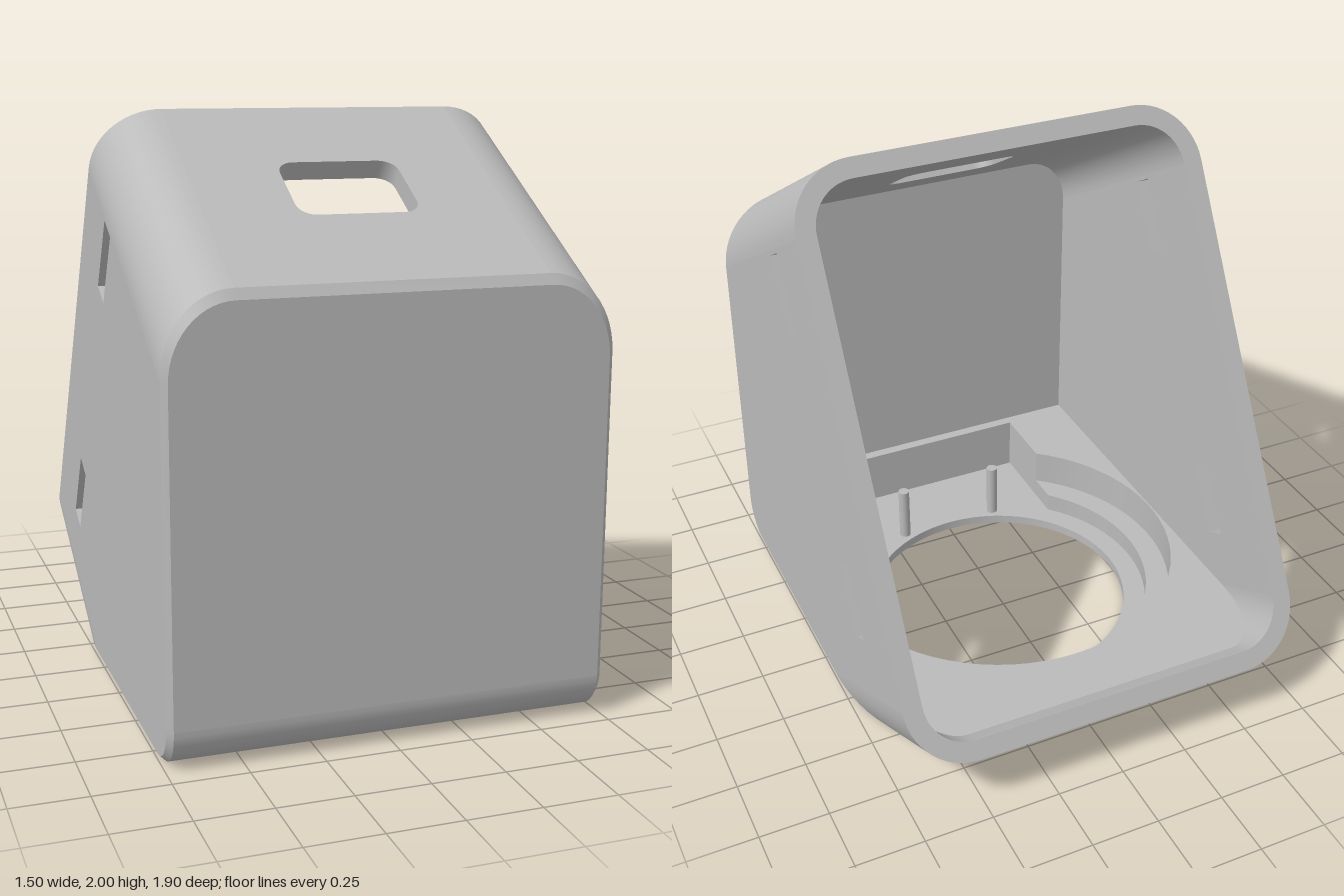
import * as THREE from 'three';
import { toCreasedNormals } from 'three/addons/utils/BufferGeometryUtils.js';

// Tilted rounded tube: x across, v up along the open back plane, u into the body.
const S = 0.5, C = Math.sqrt(3) / 2;
const Z0 = -0.95, Y0 = 0.233, V = 2.04, W = 0.75, R = 0.23, T = 0.07, BEVEL = 0.02;
const FRONT = 0.95, EDGE = 0.14, FLOOR = 0.25, INNER_FRONT = 0.88;
const at = (x, u, v) => new THREE.Vector3(x, Y0 + C * v - S * u, Z0 + S * v + C * u);
const vOf = (z, y) => (z - Z0) * S + (y - Y0) * C;

// Depth at which the outer tube meets the front and bottom, with their rounded edge
function outerEnd(v, inset) {
  const inside = (u) => {
    const { z, y } = at(0, u, v), dz = z - (FRONT - EDGE), dy = EDGE - y;
    if (dz > 0 && dy > 0) return Math.hypot(dz, dy) <= EDGE - inset;
    return z <= FRONT - inset && y >= inset;
  };
  let lo = 0, hi = 3;
  for (let i = 0; i < 40; i++) {
    const m = (lo + hi) / 2;
    if (inside(m)) lo = m; else hi = m;
  }
  return lo;
}
// Depth at which the inner tube meets the floor or the front wall
function innerEnd(v) {
  const p = at(0, 0, v);
  return Math.min((INNER_FRONT - p.z) / C, (p.y - FLOOR) / S);
}

// Cross-section points [x, v] in named runs for the +x half
const vBottom = vOf(FRONT - EDGE, 0), vFront = vOf(FRONT, EDGE), vKink = vOf(INNER_FRONT, FLOOR);
const sideV = [R];
for (let i = 0; i <= 12; i++) sideV.push(vBottom + (vFront - vBottom) * i / 12);
sideV.push(vKink, V - R);
function section(inset) {
  const r = R - inset, low = [], high = [];
  for (let i = 0; i <= 14; i++) {
    const a = i / 14 * Math.PI / 2;
    low.push([W - R + r * Math.sin(a), R - r * Math.cos(a)]);
    high.push([W - R + r * Math.cos(a), V - R + r * Math.sin(a)]);
  }
  const side = sideV.map((v) => [W - inset, v]);
  const half = [...low, ...side.slice(1, -1), ...high];
  return { low, high, side, loop: [...half, ...mirror(half)] };
}
const mirror = (pts) => pts.map(([x, v]) => [-x, v]).reverse();

// Surface between two equally long rows of points
function strip(a, b, closed = false) {
  const n = a.length, pos = [], idx = [];
  for (let i = 0; i < n; i++) pos.push(...a[i].toArray(), ...b[i].toArray());
  for (let i = 0; i < (closed ? n : n - 1); i++) {
    const p = 2 * i, q = 2 * ((i + 1) % n);
    idx.push(p, q, p + 1, q, q + 1, p + 1);
  }
  const g = new THREE.BufferGeometry();
  g.setAttribute('position', new THREE.Float32BufferAttribute(pos, 3));
  g.setIndex(idx);
  return toCreasedNormals(g, 0.5);
}
// Flat outline with holes, placed in space by a rule
function sheet(outline, holes, place) {
  const vec = (pts) => pts.map(([a, b]) => new THREE.Vector2(a, b));
  const shape = new THREE.Shape(vec(outline));
  holes.forEach((h) => shape.holes.push(new THREE.Path(vec(h))));
  const g = new THREE.ShapeGeometry(shape), p = g.attributes.position;
  for (let i = 0; i < p.count; i++) p.setXYZ(i, ...place(p.getX(i), p.getY(i)).toArray());
  g.computeVertexNormals();
  return g;
}
const rect = (a0, a1, b0, b1) => [[a0, b0], [a1, b0], [a1, b1], [a0, b1]];

export function createModel() {
  const model = new THREE.Group();
  model.name = 'tiltedHousing';
  const grey = new THREE.MeshStandardMaterial({ color: 0xbababa, side: THREE.DoubleSide });
  grey.name = 'grey';
  const add = (name, geometry) => {
    const m = new THREE.Mesh(geometry, grey);
    m.name = name;
    model.add(m);
    return m;
  };

  const outer = section(0), cap = section(BEVEL), inner = section(T);
  const start = (pts) => pts.map(([x, v]) => at(x, 0, v));
  const slots = [rect(0.29, 0.385, 0.437, 0.71), rect(0.29, 0.385, 1.52, 1.793)];
  const vent = [];
  [[1, 1], [-1, 1], [-1, -1], [1, -1]].forEach(([sx, su], k) => {
    for (let i = 0; i <= 6; i++) {
      const a = (k + i / 6) * Math.PI / 2;
      vent.push([sx * 0.15 + 0.06 * Math.cos(a), 0.49 + su * 0.09 + 0.06 * Math.sin(a)]);
    }
  });

  // Outer and inner tube walls
  const walls = [
    ['outer', outer, (v) => outerEnd(v, BEVEL), 0],
    ['inner', inner, innerEnd, T],
  ];
  for (const [name, sec, end, inset] of walls) {
    const stop = (pts) => pts.map(([x, v]) => at(x, end(v), v));
    const bottom = [...mirror(sec.low), ...sec.low];
    add(name + 'LowerWall', strip(start(bottom), stop(bottom)));
    for (const run of [sec.high, mirror(sec.high)]) add(name + 'TopCorner', strip(start(run), stop(run)));
    const outline = [[0, V - R], [0, R], ...sideV.map((v) => [end(v), v])];
    for (const s of [-1, 1]) add(name + 'SideWall', sheet(outline, slots, (u, v) => at(s * (W - inset), u, v)));
    add(name + 'TopWall', sheet(rect(R - W, W - R, 0, end(V - inset)), [vent], (x, u) => at(x, u, V - inset)));
  }
  add('rim', strip(start(outer.loop), start(inner.loop), true));

  // Edges of the openings
  add('ventEdge', strip(vent.map(([x, u]) => at(x, u, V)), vent.map(([x, u]) => at(x, u, V - T)), true));
  for (const s of [-1, 1]) for (const slot of slots) {
    add('slotEdge', strip(slot.map(([u, v]) => at(s * W, u, v)), slot.map(([u, v]) => at(s * (W - T), u, v)), true));
  }

  // Bevel, front face, rounded front edge
  const capAt = ([x, v]) => at(x, outerEnd(v, 0), v);
  add('bevel', strip(outer.loop.map(([x, v]) => at(x, outerEnd(v, BEVEL), v)), cap.loop.map(capAt), true));
  const e = 1e-4;
  const frontPts = cap.loop.filter((p) => p[1] > vFront - e).map(capAt);
  add('frontFace', sheet(frontPts.map((p) => [p.x, p.y]), [], (x, y) => new THREE.Vector3(x, y, FRONT)));
  const bend = cap.side.filter((p) => p[1] > vBottom - e && p[1] < vFront + e);
  add('roundedEdge', strip(bend.map(capAt), bend.map(([x, v]) => capAt([-x, v]))));

  // Base with a round opening, stepped recess and front pocket
  const MID = 0.045, POCKET = 0.42, LEDGE = 0.11, LOW = 0.035;
  const level = (y) => (x, z) => new THREE.Vector3(x, y, z);
  const raise = (pts, y) => pts.map(([x, z]) => new THREE.Vector3(x, y, z));
  const hole = [];
  for (let i = 0; i < 64; i++) {
    const a = i / 32 * Math.PI;
    hole.push([0.5 * Math.cos(a), MID + 0.5 * Math.sin(a)]);
  }
  const recess = (r) => {
    const a0 = Math.acos(POCKET / r), pts = [];
    for (let i = 0; i <= 56; i++) {
      const a = Math.PI - a0 + (Math.PI + 2 * a0) * i / 56;
      pts.push([r * Math.cos(a), MID + r * Math.sin(a)]);
    }
    return [...pts, [POCKET, 0.84], [-POCKET, 0.84]];
  };
  const wide = recess(0.675), narrow = recess(0.585);
  const flat = (pts) => pts.map((p) => [p.x, p.z]);
  const bottomPts = cap.loop.filter((p) => p[1] < vBottom + e).map(capAt);
  add('bottomFace', sheet(flat(bottomPts), [hole], level(0)));
  const innerAt = ([x, v]) => at(x, innerEnd(v), v);
  const floorPts = inner.loop.filter((p) => p[1] < vKink + e).map(innerAt);
  add('floor', sheet(flat(floorPts), [wide], level(FLOOR)));
  const backPts = inner.loop.filter((p) => p[1] > vKink - e).map(innerAt);
  add('innerFront', sheet(backPts.map((p) => [p.x, p.y]), [], (x, y) => new THREE.Vector3(x, y, INNER_FRONT)));
  add('recessWall', strip(raise(wide, FLOOR), raise(wide, LEDGE), true));
  add('ledge', strip(raise(wide.slice(0, 57), LEDGE), raise(narrow.slice(0, 57), LEDGE)));
  add('lowerRecessWall', strip(raise(narrow, LEDGE), raise(narrow, LOW), true));
  add('recessFloor', sheet(narrow, [hole], level(LOW)));
  add('openingEdge', strip(raise(hole, LOW), raise(hole, 0), true));

  // Locating pins
  for (const s of [-1, 1]) {
    add('pin', new THREE.CylinderGeometry(0.022, 0.022, 0.22, 20)).position.set(s * 0.2, LOW + 0.11, 0.55);
  }
  return model;
}
